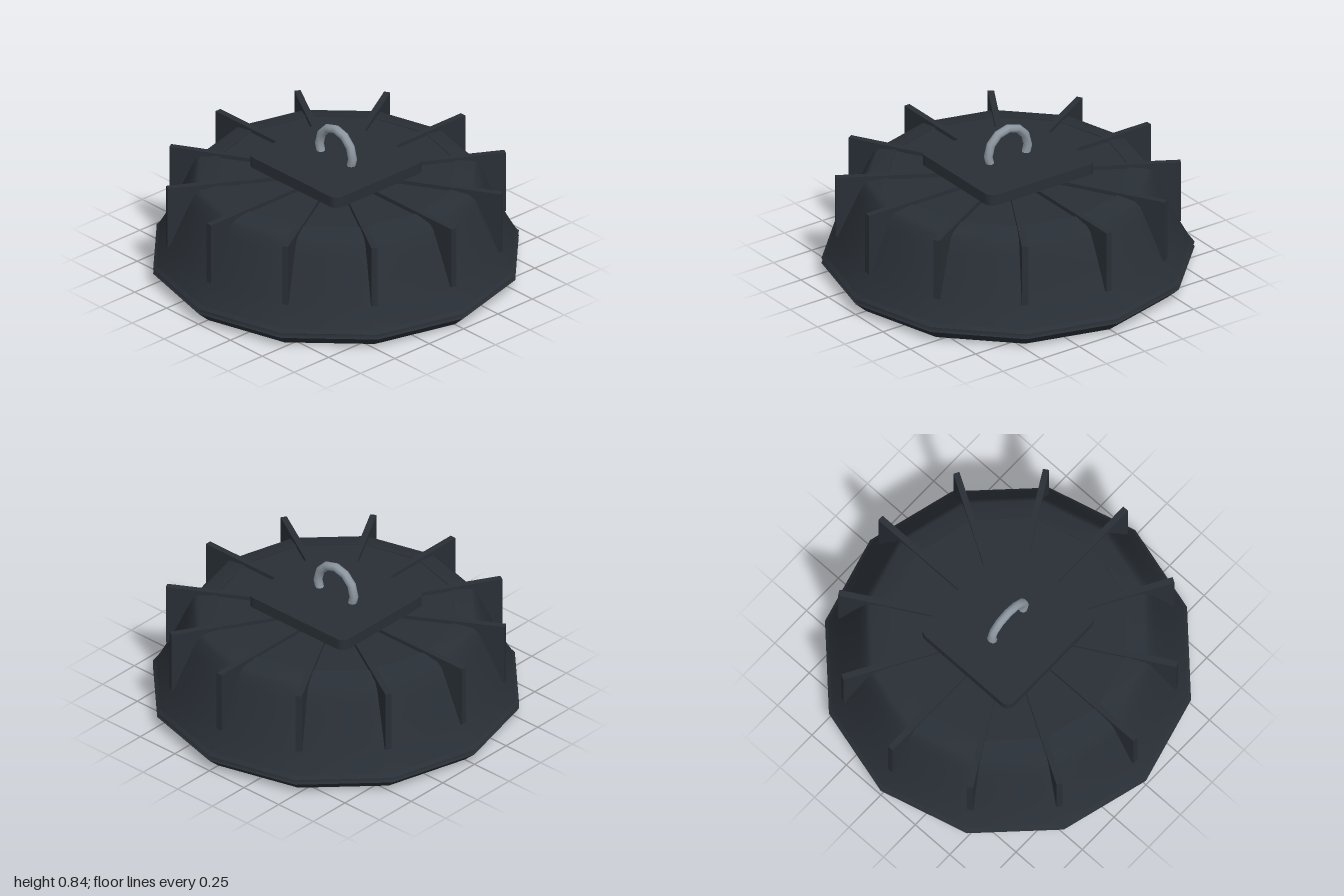
import * as THREE from 'three';

const SIDES = 12;
const mat = (color, opts = {}) => new THREE.MeshStandardMaterial({ color, ...opts });

export function createModel() {
  const model = new THREE.Group();
  model.name = 'highBayLamp';
  const dark = mat(0x292f36);
  const darkTwo = mat(0x292f36, { side: THREE.DoubleSide });
  const metal = mat(0x8d97a1);
  const trimMetal = mat(0xb0b8c0, { side: THREE.DoubleSide });
  const panelGrey = mat(0xb0b0b0, { side: THREE.DoubleSide });
  const lensGrey = mat(0xb4b4ae);
  const chip = mat(0xc8b560);
  const black = mat(0x202428);

  const add = (name, geometry, material, parent = model) => {
    const mesh = new THREE.Mesh(geometry, material);
    mesh.name = name;
    parent.add(mesh);
    return mesh;
  };
  // Twelve-sided turned surface; points run as [radius, height]
  const turned = (name, points, material) =>
    add(name, new THREE.LatheGeometry(points.map(([r, y]) => new THREE.Vector2(r, y)), SIDES), material);

  // Housing: bezel, groove, shell, rim and slightly sunken top
  turned('bezelRing', [[0.87, 0.03], [0.9, 0.008], [0.93, 0], [0.97, 0.035], [1, 0.062]], darkTwo);
  turned('groove', [[1, 0.062], [0.975, 0.077], [1, 0.09]], darkTwo);
  turned('shellLip', [[1, 0.09], [0.983, 0.108]], darkTwo);
  turned('shell', [[0.983, 0.108], [0.955, 0.155], [0.917, 0.225], [0.865, 0.345], [0.815, 0.455],
    [0.785, 0.52], [0.755, 0.545], [0.65, 0.562]], darkTwo);
  turned('shellTop', [[0.65, 0.562], [0.65, 0.553], [0, 0.553]], darkTwo);

  // Cooling fins through each corner of the shell, running in as low ridges
  const fins = new THREE.Group();
  fins.name = 'coolingFins';
  model.add(fins);
  const finGeometry = new THREE.BoxGeometry(0.825, 0.35, 0.034).translate(0.5125, 0.4, 0);
  for (let i = 0; i < SIDES; i++) {
    add('fin', finGeometry, dark, fins).rotation.y = (i / SIDES) * Math.PI * 2;
  }

  // Rounded driver plate hovering just above the fins
  const [w, d, r] = [0.35, 0.325, 0.05];
  const outline = new THREE.Shape();
  outline.absarc(w - r, d - r, r, 0, Math.PI / 2);
  outline.absarc(r - w, d - r, r, Math.PI / 2, Math.PI);
  outline.absarc(r - w, r - d, r, Math.PI, Math.PI * 1.5);
  outline.absarc(w - r, r - d, r, Math.PI * 1.5, Math.PI * 2);
  outline.closePath();
  const plate = new THREE.ExtrudeGeometry(outline, { depth: 0.063, bevelEnabled: false, curveSegments: 5 });
  add('driverPlate', plate.rotateX(-Math.PI / 2).translate(0, 0.582, 0), dark);

  // Hanging ring
  add('hangingRing', new THREE.TorusGeometry(0.13, 0.024, 8, 12), metal).position.y = 0.685;

  // Light panel with its trim and central opening
  turned('panelTrim', [[0.845, 0.04], [0.845, 0.03], [0.87, 0.03]], trimMetal);
  turned('lightPanel', [[0, 0.04], [0.85, 0.04]], panelGrey);
  add('centreOpening', new THREE.CylinderGeometry(0.105, 0.105, 0.006, 24), black).position.y = 0.04;

  // Three rings of lenses, each with a small emitter
  const lenses = new THREE.Group();
  lenses.name = 'lenses';
  model.add(lenses);
  const lensGeometry = new THREE.CylinderGeometry(0.036, 0.03, 0.008, 12);
  const chipGeometry = new THREE.CylinderGeometry(0.012, 0.012, 0.004, 8);
  for (const [radius, count, phase] of [[0.38, 12, 0.5], [0.565, 24, 0], [0.77, 36, 0.5]]) {
    for (let i = 0; i < count; i++) {
      const a = ((i + phase) / count) * Math.PI * 2;
      const [x, z] = [radius * Math.cos(a), radius * Math.sin(a)];
      add('lens', lensGeometry, lensGrey, lenses).position.set(x, 0.036, z);
      add('emitter', chipGeometry, chip, lenses).position.set(x, 0.031, z);
    }
  }
  return model;
}
